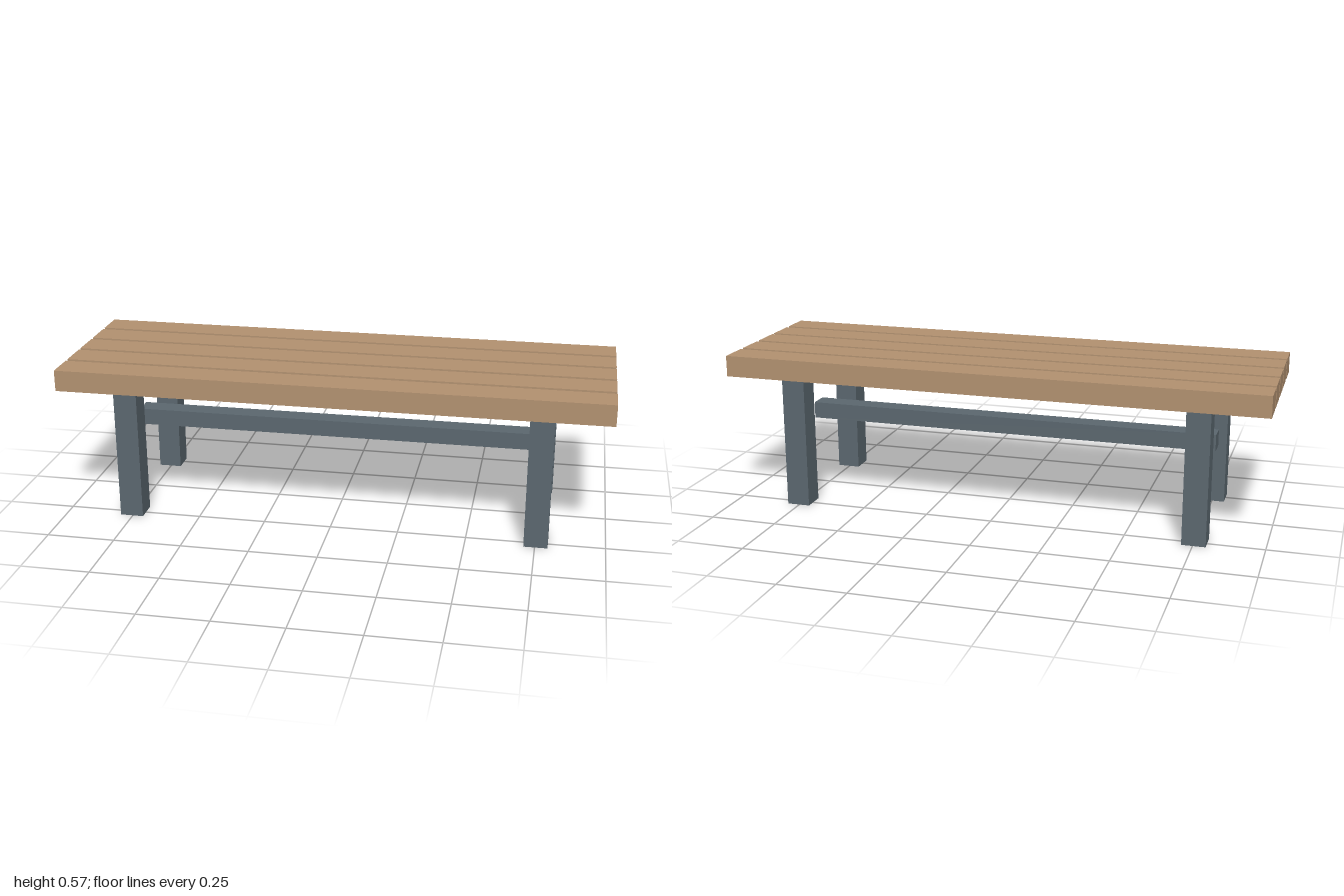
import * as THREE from 'three';

export function createModel() {
  const bench = new THREE.Group();
  bench.name = 'bench';
  const wood = new THREE.MeshStandardMaterial({ color: 0xb29170 });
  const metal = new THREE.MeshStandardMaterial({ color: 0x5b676f });

  // Box with its underside at height y
  function addBox(name, material, [w, h, d], [x, y, z]) {
    const mesh = new THREE.Mesh(new THREE.BoxGeometry(w, h, d), material);
    mesh.name = name;
    mesh.position.set(x, y + h / 2, z);
    bench.add(mesh);
  }

  // Five seat slats with narrow gaps
  for (let i = -2; i <= 2; i++) {
    addBox('seatSlat', wood, [2, 0.078, 0.115], [0, 0.495, i * 0.1335]);
  }

  // Four legs, stopping just below the slats
  for (const sx of [-1, 1]) {
    for (const sz of [-1, 1]) {
      addBox('leg', metal, [0.086, 0.486, 0.086], [sx * 0.753, 0, sz * 0.243]);
    }
  }

  // Lengthwise beam under the middle of the seat
  addBox('beam', metal, [1.568, 0.062, 0.074], [0, 0.273, 0]);

  return bench;
}
